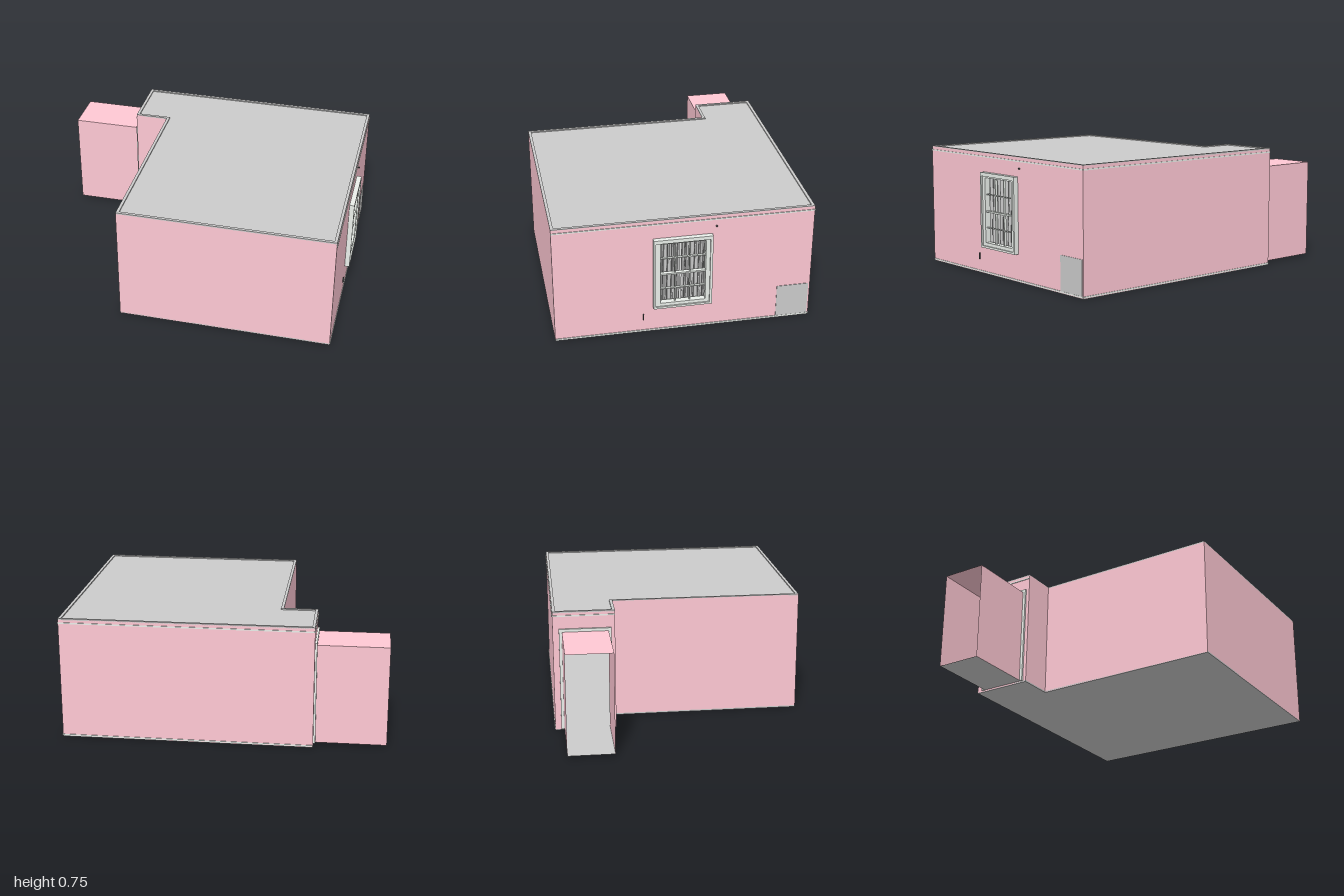
import * as THREE from 'three';

const mat = (color) => new THREE.MeshStandardMaterial({ color, side: THREE.DoubleSide });

export function createModel() {
  const room = new THREE.Group();
  room.name = 'room';
  const pink = mat(0xffc8d4), grey = mat(0xcccccc), trim = mat(0xeaefea), dark = mat(0x555555);

  const add = (name, geo, material, parent = room) => {
    const m = new THREE.Mesh(geo, material);
    m.name = name;
    parent.add(m);
    return m;
  };
  const box = (name, x0, x1, y0, y1, z0, z1, material, parent) => {
    const m = add(name, new THREE.BoxGeometry(x1 - x0, y1 - y0, z1 - z0), material, parent);
    m.position.set((x0 + x1) / 2, (y0 + y1) / 2, (z0 + z1) / 2);
    return m;
  };
  const rect = (C, x0, x1, y0, y1) => new C([[x0, y0], [x1, y0], [x1, y1], [x0, y1]]
    .map(([x, y]) => new THREE.Vector2(x, y)));

  // L-shaped footprint, shrunk by d
  const footprint = (d) => [
    [-0.35 + d, 0.77 - d], [0.97 - d, 0.77 - d], [0.97 - d, -0.775 + d],
    [-0.56 + d, -0.775 + d], [-0.56 + d, -0.4 - d], [-0.35 + d, -0.4 - d],
  ];
  const outline = (C, d) => new C(footprint(d).map(([x, z]) => new THREE.Vector2(x, -z)));
  const slab = (name, shape, y, depth, material) => {
    const geo = new THREE.ExtrudeGeometry(shape, { depth, bevelEnabled: false });
    geo.rotateX(-Math.PI / 2);
    add(name, geo, material).position.y = y;
  };

  // Thin wall standing between two plan points, with optional openings [u0, u1, y0, y1]
  const wall = (name, [x0, z0], [x1, z1], y0, y1, openings = []) => {
    const shape = rect(THREE.Shape, 0, Math.hypot(x1 - x0, z1 - z0), y0, y1);
    openings.forEach((o) => shape.holes.push(rect(THREE.Path, ...o)));
    const m = add(name, new THREE.ShapeGeometry(shape), pink);
    m.position.set(x0, 0, z0);
    m.rotation.y = Math.atan2(-(z1 - z0), x1 - x0);
  };

  // Walls: the window is in the left wall, the doorway in the alcove end
  const pts = footprint(0);
  const openings = { 1: [[0.625, 0.895, 0.2, 0.605]], 3: [[0.055, 0.335, 0.012, 0.63]] };
  const names = ['frontWall', 'windowWall', 'backWall', 'doorWall', 'alcoveWall', 'sideWall'];
  names.forEach((n, i) => wall(n, pts[i], pts[(i + 1) % 6], 0.004, 0.75, openings[i]));

  // Floor, ceiling and the raised rim on the roof
  slab('floor', outline(THREE.Shape, 0), 0, 0.01, grey);
  slab('ceiling', outline(THREE.Shape, 0.002), 0.742, 0.006, grey);
  const rim = outline(THREE.Shape, 0);
  rim.holes.push(outline(THREE.Path, 0.018));
  slab('roofRim', rim, 0.746, 0.009, grey);

  // Crown and skirting strips that show on the outer faces
  for (const [n, y] of [['crownStrip', 0.724], ['skirtingStrip', 0.007]]) {
    box(n, 0.966, 0.974, y, y + 0.008, -0.775, 0.77, trim);
    box(n, -0.56, 0.97, y, y + 0.008, -0.779, -0.771, trim);
  }
  box('crownStrip', -0.564, -0.556, 0.724, 0.732, -0.775, -0.4, trim);

  // Open-ended passage
  wall('passageFrontWall', [-1, -0.44], [-0.56, -0.44], 0.012, 0.63);
  wall('passageBackWall', [-0.56, -0.72], [-1, -0.72], 0.012, 0.63);
  for (const [n, y, m] of [['passageRoof', 0.63, pink], ['passageFloor', 0.012, grey]]) {
    const geo = new THREE.PlaneGeometry(0.44, 0.28).rotateX(-Math.PI / 2);
    add(n, geo, m).position.set(-0.78, y, -0.58);
  }

  // Door casing around the passage
  const casing = new THREE.Group();
  casing.name = 'doorCasing';
  room.add(casing);
  box('casingSide', -0.572, -0.55, 0.01, 0.648, -0.738, -0.72, trim, casing);
  box('casingSide', -0.572, -0.55, 0.01, 0.648, -0.44, -0.422, trim, casing);
  box('casingHead', -0.572, -0.55, 0.63, 0.648, -0.72, -0.44, trim, casing);

  // Window: stepped frame, glazing bars and meeting rail
  const windowGroup = new THREE.Group();
  windowGroup.name = 'window';
  room.add(windowGroup);
  const frame = (name, outer, inner, x, depth) => {
    const shape = rect(THREE.Shape, ...outer);
    shape.holes.push(rect(THREE.Path, ...inner));
    const geo = new THREE.ExtrudeGeometry(shape, { depth, bevelEnabled: false });
    geo.rotateY(Math.PI / 2);
    add(name, geo, trim, windowGroup).position.x = x;
  };
  // shape x runs along -z
  frame('windowCasing', [-0.185, 0.165, 0.17, 0.635], [-0.172, 0.15, 0.183, 0.612], 0.955, 0.045);
  frame('windowSash', [-0.172, 0.15, 0.183, 0.612], [-0.145, 0.125, 0.203, 0.603], 0.955, 0.036);
  for (const y of [0.295, 0.5]) box('glazingBar', 0.965, 0.98, y - 0.003, y + 0.003, -0.125, 0.145, trim, windowGroup);
  for (const z of [0.055, -0.033]) box('glazingBar', 0.965, 0.98, 0.203, 0.603, z - 0.003, z + 0.003, trim, windowGroup);
  box('meetingRail', 0.96, 0.984, 0.39, 0.4, -0.125, 0.145, trim, windowGroup);

  // Pleated curtains with a narrow gap between them
  for (const [z0, z1] of [[0.022, 0.165], [-0.145, 0.01]]) {
    const geo = new THREE.PlaneGeometry(z1 - z0, 0.45, 72, 12).rotateY(Math.PI / 2);
    const p = geo.attributes.position;
    for (let i = 0; i < p.count; i++) {
      const z = p.getZ(i), y = p.getY(i);
      p.setX(i, 0.011 * Math.sin(z * 230 + 0.8 * Math.sin(y * 9)) + 0.004 * Math.sin(z * 520 + y * 5));
    }
    geo.computeVertexNormals();
    add('curtain', geo, grey, windowGroup).position.set(0.935, 0.405, (z0 + z1) / 2);
  }

  // Flush hatch, small hook and knob on the window wall
  box('wallHatch', 0.965, 0.973, 0.012, 0.225, -0.765, -0.57, grey);
  box('hook', 0.968, 0.978, 0.085, 0.125, 0.239, 0.244, dark);
  add('knob', new THREE.SphereGeometry(0.006, 10, 8), dark).position.set(0.976, 0.685, -0.188);

  return room;
}
